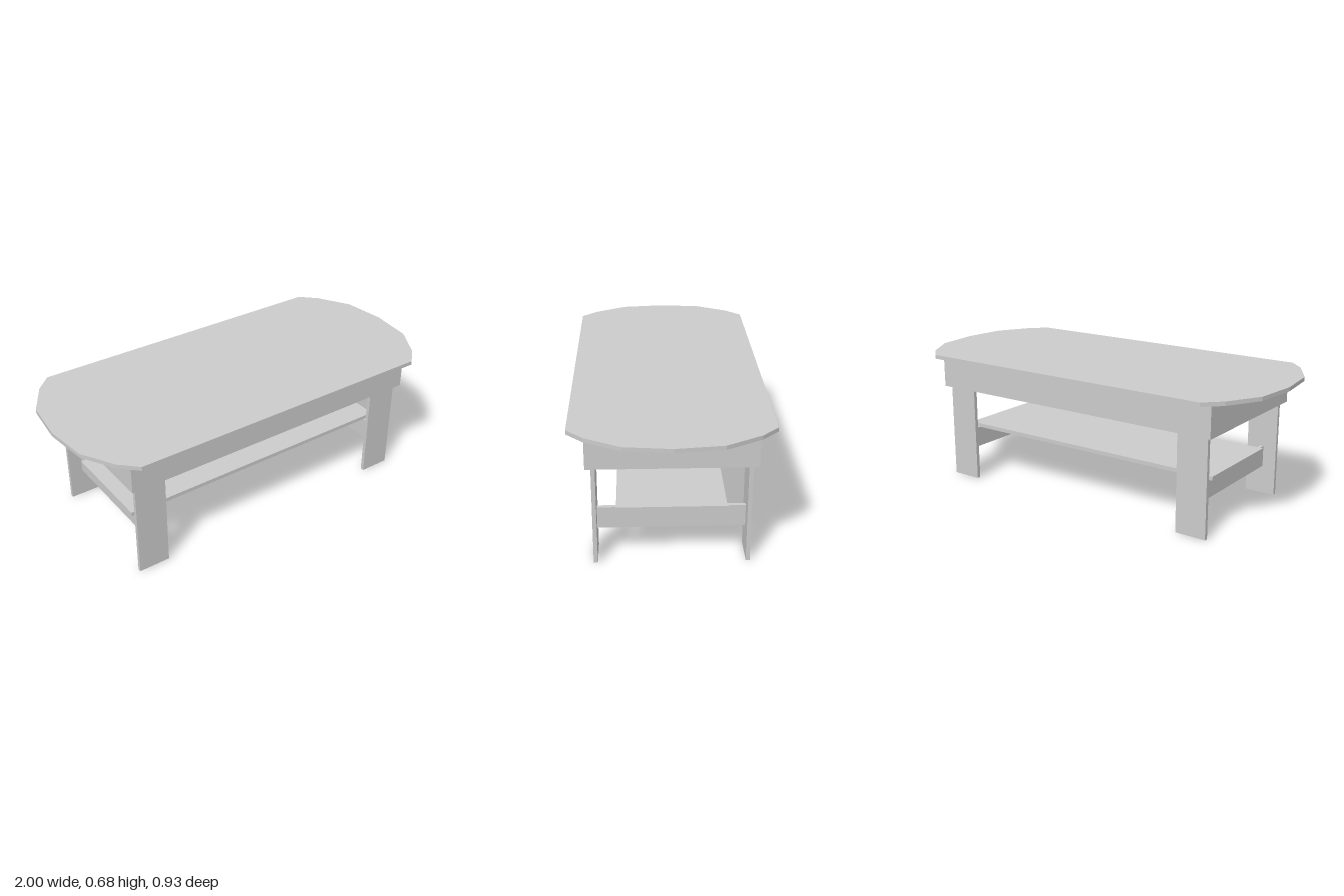
import * as THREE from 'three';

const material = new THREE.MeshStandardMaterial({ color: 0xcccccc, flatShading: true });

export function createModel() {
  const table = new THREE.Group();
  table.name = 'table';

  // A board given by its min and max on each axis
  const board = (name, [x0, x1], [y0, y1], [z0, z1]) => {
    const mesh = new THREE.Mesh(new THREE.BoxGeometry(x1 - x0, y1 - y0, z1 - z0), material);
    mesh.position.set((x0 + x1) / 2, (y0 + y1) / 2, (z0 + z1) / 2);
    mesh.name = name;
    table.add(mesh);
  };
  // Range on one side of an axis
  const span = (side, a, b) => (side > 0 ? [a, b] : [-b, -a]);

  // Table top with faceted round ends
  const end = [[0.8, -0.463], [0.88, -0.385], [0.975, -0.22], [1, 0], [0.975, 0.22], [0.88, 0.385], [0.8, 0.463]];
  const outline = [...end, ...end.map(([x, z]) => [-x, -z])];
  const topShape = new THREE.Shape(outline.map(([x, z]) => new THREE.Vector2(x, z)));
  const topGeometry = new THREE.ExtrudeGeometry(topShape, { depth: 0.02, bevelEnabled: false });
  topGeometry.rotateX(-Math.PI / 2);
  const top = new THREE.Mesh(topGeometry, material);
  top.position.y = 0.66;
  top.name = 'tableTop';
  table.add(top);

  for (const side of [1, -1]) {
    const label = side > 0 ? 'left' : 'right';
    // Apron frame, open below
    board(side > 0 ? 'frontApron' : 'backApron', [-0.815, 0.815], [0.495, 0.66], span(side, 0.363, 0.387));
    board(label + 'Apron', span(side, 0.791, 0.815), [0.495, 0.66], [-0.363, 0.363]);
    // Stretcher between the legs at each end
    board(label + 'Stretcher', span(side, 0.7, 0.72), [0.145, 0.252], [-0.343, 0.343]);
    // Flat board legs
    for (const front of [1, -1]) {
      board(label + (front > 0 ? 'FrontLeg' : 'BackLeg'), span(side, 0.63, 0.79), [0, 0.66], span(front, 0.343, 0.362));
    }
  }

  // Lower shelf resting on the stretchers
  board('shelf', [-0.76, 0.76], [0.252, 0.272], [-0.255, 0.255]);

  return table;
}
